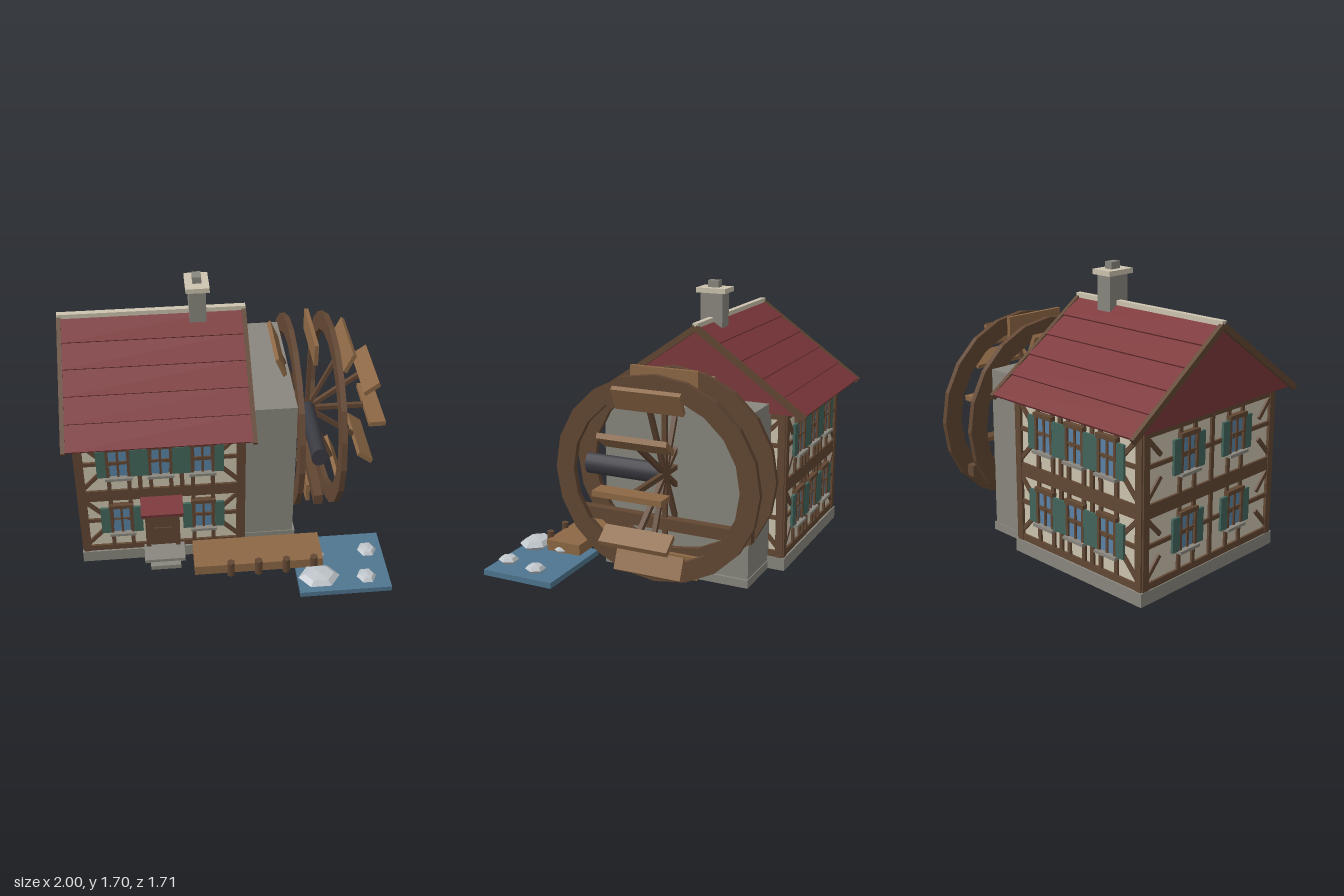
import * as THREE from 'three';

const mat = (name, color) => {
  const m = new THREE.MeshStandardMaterial({ color });
  m.name = name;
  return m;
};

export function createModel() {
  const plaster = mat('plaster', 0xcdc4af), timber = mat('timber', 0x624733);
  const roofRed = mat('roof red', 0x7d383b), stone = mat('stone', 0x89877e);
  const wood = mat('light wood', 0x8d6845), green = mat('shutter green', 0x42655b);
  const water = mat('water', 0x4f7690), glass = mat('glass', 0x5b83a6);
  const iron = mat('iron', 0x3a3a42), rock = mat('rock', 0xbfc6cb);

  const model = new THREE.Group();
  model.name = 'watermill';

  const add = (parent, name, geo, material, x = 0, y = 0, z = 0) => {
    const m = new THREE.Mesh(geo, material);
    m.name = name;
    m.position.set(x, y, z);
    parent.add(m);
    return m;
  };
  // Box given by its centre and size
  const box = (parent, name, material, x, y, z, w, h, d) =>
    add(parent, name, new THREE.BoxGeometry(w, h, d), material, x, y, z);
  // Box given by its limits
  const span = (parent, name, material, x0, x1, y0, y1, z0, z1) =>
    box(parent, name, material, (x0 + x1) / 2, (y0 + y1) / 2, (z0 + z1) / 2, x1 - x0, y1 - y0, z1 - z0);
  const group = (parent, name, x = 0, y = 0, z = 0) => {
    const g = new THREE.Group();
    g.name = name;
    g.position.set(x, y, z);
    parent.add(g);
    return g;
  };

  const CX = -0.44, CZ = -0.165;

  // House body and annex
  span(model, 'plinth', stone, -0.95, 0.068, 0, 0.08, -0.74, 0.41);
  span(model, 'walls', plaster, -0.93, 0.05, 0.08, 0.98, -0.715, 0.385);
  span(model, 'annexFooting', stone, 0.07, 0.4, 0, 0.05, -0.635, 0.305);
  span(model, 'annex', stone, 0.05, 0.385, 0.05, 1.04, -0.63, 0.3);

  // Window with frame, cross bars, sill and shutters
  const addWindow = (parent, u, y) => {
    const g = group(parent, 'window', u, y, 0);
    box(g, 'glass', glass, 0, 0, 0.01, 0.13, 0.2, 0.008);
    for (const s of [-1, 1]) {
      box(g, 'jamb', timber, s * 0.062, 0, 0.014, 0.017, 0.21, 0.026);
      box(g, 'shutter', green, s * 0.099, 0, 0.018, 0.056, 0.2, 0.016);
    }
    box(g, 'lintel', timber, 0, 0.113, 0.016, 0.15, 0.026, 0.034);
    box(g, 'mullion', timber, 0, 0, 0.014, 0.014, 0.2, 0.018);
    box(g, 'crossBar', timber, 0, 0.01, 0.014, 0.12, 0.01, 0.018);
    box(g, 'sill', stone, 0, -0.108, 0.022, 0.16, 0.018, 0.044);
  };

  // Timber-framed wall face, built facing +z in its own frame
  const facade = (name, x, z, turn, half, lowerWindows, upperWindows) => {
    const g = group(model, name, x, 0, z);
    g.rotation.y = turn;
    const beam = (n, u, y, w, h) => box(g, n, timber, u, y, 0.003, w, h, 0.022);
    [[0.08, 0.53, 0.335, lowerWindows], [0.53, 0.98, 0.785, upperWindows]].forEach(([y0, y1, yc, windows]) => {
      beam('bottomBeam', 0, y0 + 0.02, half * 2, 0.04);
      beam('topBeam', 0, y1 - 0.02, half * 2, 0.04);
      beam('rail', 0, yc - 0.005, half * 2, 0.025);
      for (const s of [-1, 1]) {
        box(g, 'cornerPost', timber, s * (half - 0.014), (y0 + y1) / 2, 0.003, 0.045, y1 - y0, 0.03);
        // Corner braces
        for (const v of [-1, 1]) {
          const b = beam('brace', s * (half - 0.075), yc + v * 0.12 - 0.02, 0.025, 0.16);
          b.rotation.z = s * v * -0.75;
        }
      }
      for (const u of windows) {
        addWindow(g, u, yc);
        for (const s of [-1, 1]) beam('stud', u + s * 0.06, (y0 + y1) / 2, 0.024, y1 - y0);
      }
      for (let i = 1; i < windows.length; i++)
        beam('stud', (windows[i - 1] + windows[i]) / 2, (y0 + y1) / 2, 0.026, y1 - y0);
    });
    return g;
  };
  const three = [-0.25, 0, 0.25], two = [-0.205, 0.205];
  const front = facade('frontFace', CX, 0.385, 0, 0.49, [-0.25, 0.25], three);
  facade('backFace', CX, -0.715, Math.PI, 0.49, three, three);
  facade('rightFace', -0.93, CZ, -Math.PI / 2, 0.55, two, two);
  facade('leftFace', 0.05, CZ, Math.PI / 2, 0.55, [], []);

  // Door, canopy and steps
  const door = group(front, 'door', -0.005, 0, 0);
  box(door, 'doorLeaf', timber, 0, 0.25, 0.012, 0.16, 0.32, 0.02);
  for (const s of [-1, 1]) {
    box(door, 'doorPost', timber, s * 0.092, 0.28, 0.017, 0.028, 0.4, 0.04);
    box(door, 'bracket', timber, s * 0.095, 0.45, 0.05, 0.02, 0.025, 0.08);
  }
  for (const [y, h] of [[0.19, 0.12], [0.325, 0.1]])
    box(door, 'doorPanel', timber, 0, y, 0.022, 0.11, h, 0.012);
  box(door, 'doorLintel', timber, 0, 0.43, 0.02, 0.22, 0.035, 0.046);
  box(door, 'canopy', roofRed, 0, 0.48, 0.075, 0.255, 0.022, 0.15).rotation.x = 0.2;
  span(model, 'upperStep', stone, -0.565, -0.315, 0.08, 0.105, 0.38, 0.54);
  span(model, 'lowerStep', stone, -0.53, -0.345, 0.055, 0.085, 0.38, 0.575);

  // Roof: solid prism, overlapping courses, barge boards and ridge
  const roof = group(model, 'roof', CX, 0, CZ);
  const RUN = 0.68, EAVE = 0.98, APEX = 1.455;
  const slope = Math.hypot(RUN, APEX - EAVE), pitch = Math.atan2(APEX - EAVE, RUN);
  const gable = new THREE.Shape([
    new THREE.Vector2(-RUN, EAVE), new THREE.Vector2(RUN, EAVE), new THREE.Vector2(0, APEX)]);
  const prism = new THREE.ExtrudeGeometry(gable, { depth: 1.07, bevelEnabled: false });
  prism.translate(0, 0, -0.535).rotateY(Math.PI / 2);
  add(roof, 'roofBody', prism, roofRed);
  for (const turn of [0, Math.PI]) {
    const half = group(roof, 'roofSlope');
    half.rotation.y = turn;
    const plane = group(half, 'slopePlane', 0, APEX, 0);
    plane.rotation.x = pitch;
    for (let i = 0; i < 5; i++) {
      const row = slope / 5;
      box(plane, 'course', roofRed, 0, 0.004, (i + 0.5) * row, 1.07, 0.014, row + 0.008).rotation.x = -0.06;
    }
    for (const s of [-1, 1])
      box(plane, 'bargeBoard', timber, s * 0.547, -0.002, slope / 2 + 0.005, 0.026, 0.036, slope + 0.012);
  }
  box(roof, 'ridgeCap', plaster, 0, 1.465, 0, 1.115, 0.03, 0.034);

  // Chimney
  span(model, 'chimney', stone, -0.22, -0.12, 1.36, 1.63, -0.237, -0.093);
  span(model, 'chimneyCap', plaster, -0.24, -0.1, 1.628, 1.658, -0.26, -0.07);
  span(model, 'flue', stone, -0.196, -0.144, 1.655, 1.7, -0.2, -0.13);

  // Water wheel: two rims, with spokes and paddles set across them
  const wheel = group(model, 'waterWheel', 0.525, 0.675, CZ);
  const SIDES = 20;
  const polygon = (r) => Array.from({ length: SIDES }, (_, i) => {
    const a = (i / SIDES) * Math.PI * 2;
    return new THREE.Vector2(Math.cos(a) * r, Math.sin(a) * r * 0.955);
  });
  const rim = new THREE.Shape(polygon(0.637));
  rim.holes.push(new THREE.Path(polygon(0.52)));
  const rimGeo = new THREE.ExtrudeGeometry(rim, { depth: 0.034, bevelEnabled: false });
  rimGeo.translate(0, 0, -0.017).rotateY(Math.PI / 2);
  for (const s of [-1, 1]) add(wheel, 'rim', rimGeo, timber, s * 0.125);
  const star = group(wheel, 'spokes');
  star.scale.x = 0.76;
  for (let i = 0; i < 12; i++) {
    const arm = group(star, 'arm');
    arm.rotation.z = (i * Math.PI) / 6;
    box(arm, 'spoke', timber, 0.245, 0, 0, 0.49, 0.03, 0.028);
    box(arm, 'paddle', wood, 0.55, 0, 0, 0.14, 0.033, 0.42);
  }
  const axle = add(wheel, 'axle', new THREE.CylinderGeometry(0.064, 0.064, 0.5, 12), iron, 0, 0, 0.25);
  axle.rotation.x = Math.PI / 2;
  axle.scale.x = 0.76;
  span(model, 'supportBeam', timber, 0.498, 0.553, 0.34, 0.412, -0.71, 0.385);

  // Jetty with posts
  span(model, 'jetty', wood, -0.265, 0.525, 0.063, 0.13, 0.42, 0.65);
  for (let i = 0; i < 4; i++)
    add(model, 'jettyPost', new THREE.CylinderGeometry(0.024, 0.024, 0.105, 6), timber, -0.045 + i * 0.17, 0.112, 0.66);

  // Pond and rocks
  span(model, 'pond', water, 0.36, 0.92, 0.015, 0.05, 0.38, 0.845);
  const rockGeo = new THREE.SphereGeometry(1, 6, 4).toNonIndexed();
  rockGeo.computeVertexNormals();
  for (const [x, z, rx, ry, rz] of [
    [0.485, 0.75, 0.127, 0.036, 0.098], [0.82, 0.545, 0.06, 0.027, 0.063],
    [0.775, 0.765, 0.06, 0.027, 0.063], [0.49, 0.56, 0.06, 0.027, 0.055]])
    add(model, 'rock', rockGeo, rock, x, 0.048 + ry, z).scale.set(rx, ry, rz);

  return model;
}
